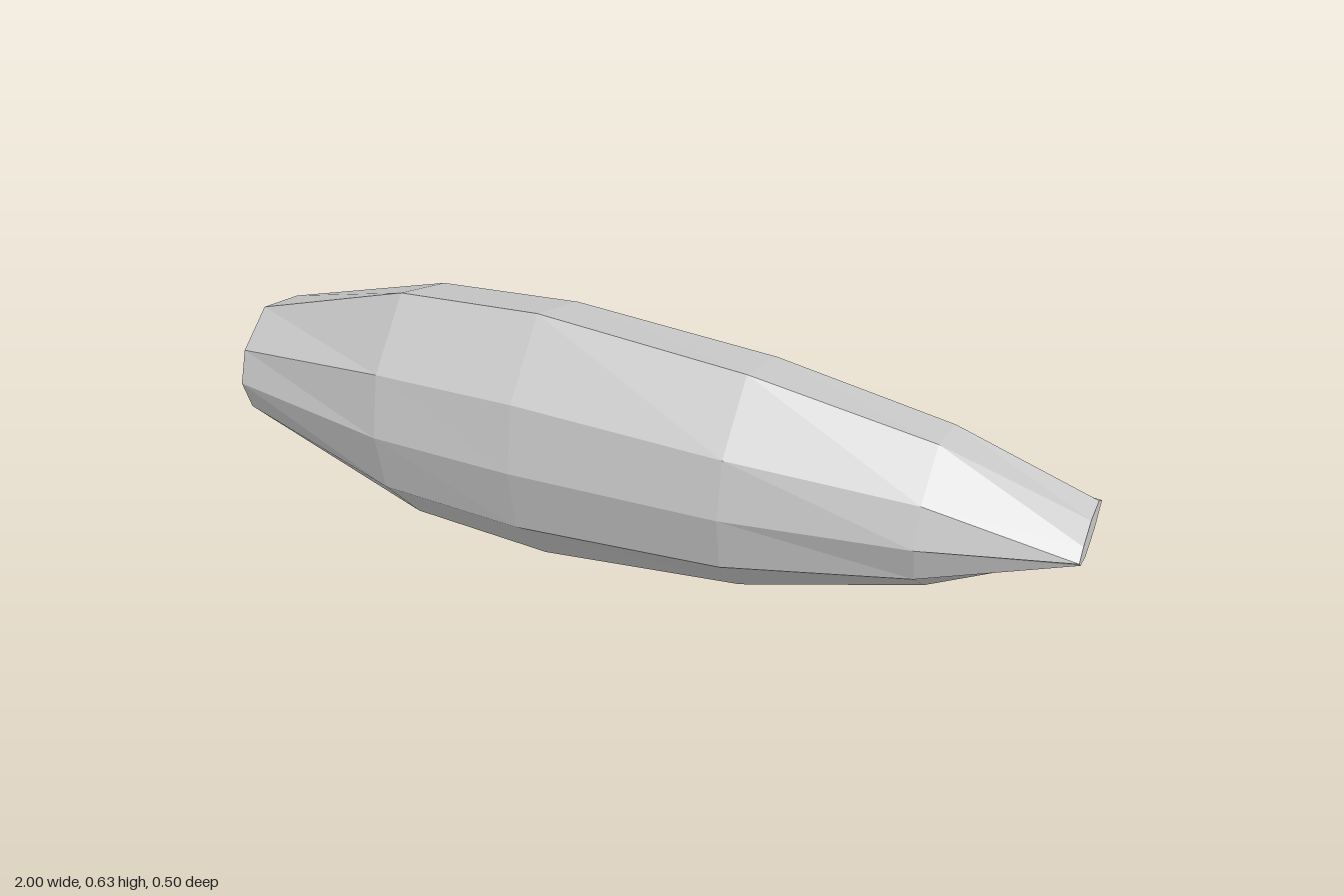
import * as THREE from 'three';

export function createModel() {
  const group = new THREE.Group();
  const grey = new THREE.MeshStandardMaterial({ color: 0xcccccc });
  grey.name = 'light grey';
  grey.flatShading = true;

  const MID = 0.318;
  // Each section: x, then z and half height of the ridge, the front shoulder
  // and the back shoulder, then z of the front and back edges
  const sections = [
    [-1.0, 0.01, 0.149, 0.107, 0.077, -0.125, 0.12, 0.135, -0.205],
    [-0.57, 0.07, 0.294, 0.203, 0.148, -0.122, 0.236, 0.234, -0.24],
    [-0.22, 0.081, 0.315, 0.222, 0.158, -0.125, 0.252, 0.252, -0.252],
    [0.27, 0.083, 0.269, 0.22, 0.134, -0.116, 0.215, 0.246, -0.24],
    [0.68, 0.05, 0.177, 0.16, 0.09, -0.106, 0.142, 0.19, -0.203],
    [1.0, 0.003, 0.045, 0.073, 0.023, -0.096, 0.035, 0.103, -0.158],
  ];
  // Eight corners, from the top ridge round the front, the bottom and the back
  const rings = sections.map(([x, rz, rh, fz, fh, bz, bh, front, back]) =>
    [[rz, rh], [fz, fh], [front, 0], [fz, -fh], [rz, -rh], [bz, -bh], [back, 0], [bz, bh]]
      .map(([z, h]) => [x, MID + h, z]));

  const n = 8;
  const last = rings.length - 1;
  const index = [];
  // Sides
  for (let k = 0; k < last; k++) {
    for (let i = 0; i < n; i++) {
      const j = (i + 1) % n;
      const a = k * n + i, b = a + n, c = (k + 1) * n + j, d = k * n + j;
      index.push(a, d, c, a, c, b);
    }
  }
  // End caps
  for (let i = 1; i < n - 1; i++) {
    index.push(0, i + 1, i);
    index.push(last * n, last * n + i, last * n + i + 1);
  }

  const geometry = new THREE.BufferGeometry();
  geometry.setAttribute('position', new THREE.Float32BufferAttribute(rings.flat(2), 3));
  geometry.setIndex(index);
  const faceted = geometry.toNonIndexed();
  faceted.computeVertexNormals();

  const body = new THREE.Mesh(faceted, grey);
  body.name = 'facetedBody';
  group.add(body);
  return group;
}
